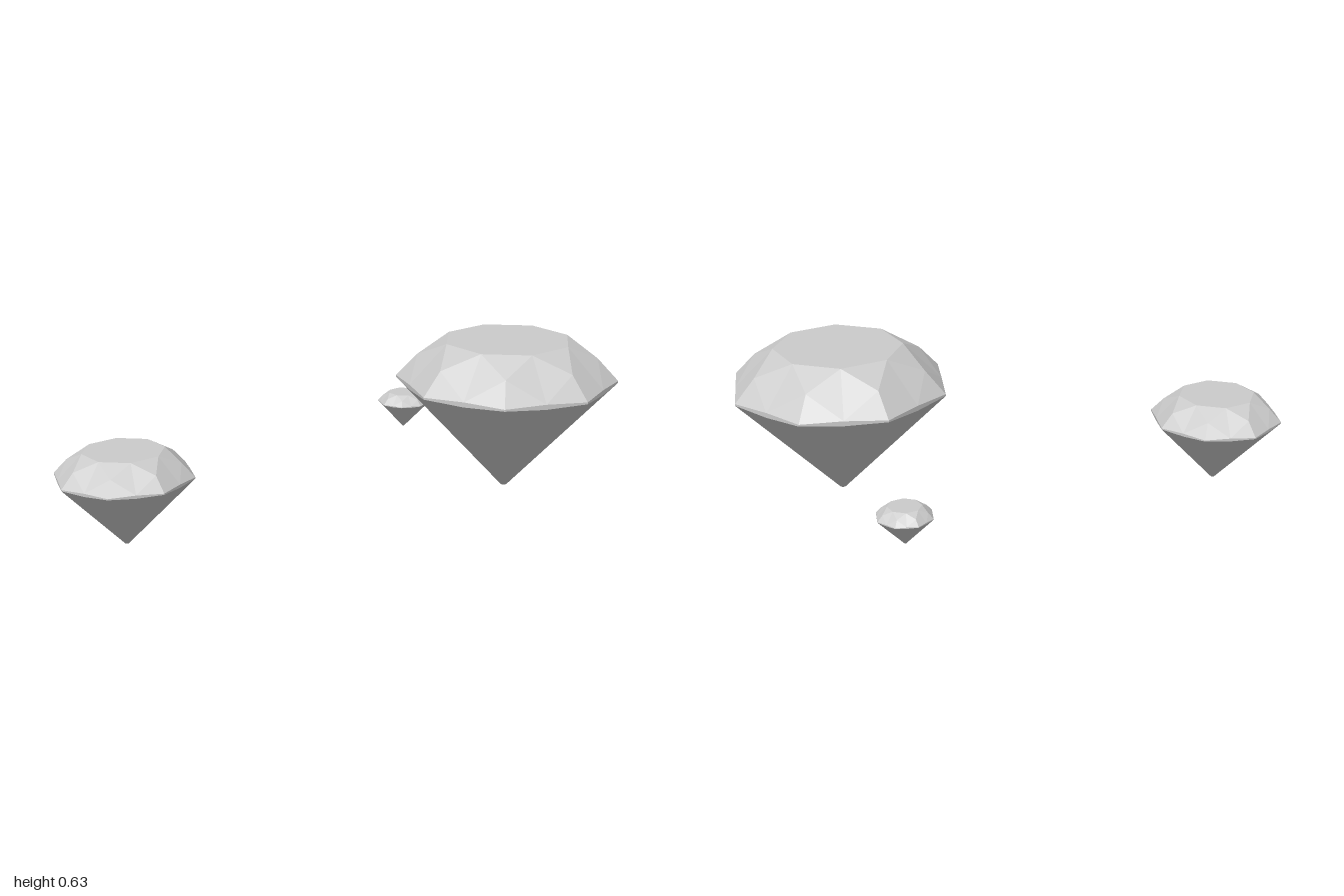
import * as THREE from 'three';

// Point at radius r, height y, and a step of 22.5 degrees round the stone
function at(r, y, step) {
  const a = step * Math.PI / 8;
  return [r * Math.sin(a), y, r * Math.cos(a)];
}

// Flat facets, each a convex polygon listed anticlockwise from outside
function facetMesh(name, facets, material) {
  const positions = [];
  for (const f of facets)
    for (let k = 1; k < f.length - 1; k++) positions.push(...f[0], ...f[k], ...f[k + 1]);
  const geometry = new THREE.BufferGeometry();
  geometry.setAttribute('position', new THREE.Float32BufferAttribute(positions, 3));
  geometry.computeVertexNormals();
  const mesh = new THREE.Mesh(geometry, material);
  mesh.name = name;
  return mesh;
}

// Brilliant-cut stone with an eight-sided outline, its tip at y = 0
function createGem(name, material) {
  const R = 0.415;
  const mid = R * Math.cos(Math.PI / 8);
  const rim = (j) => (j % 2 ? mid : R);
  const upper = (j) => at(rim(j), j % 2 ? 0.424 : 0.419, j);
  const lower = (j) => at(rim(j), j % 2 ? 0.405 : 0.412, j);
  const star = (i) => at(0.336, 0.504, 2 * i);
  const table = (i) => at(0.241, 0.568, 2 * i + 1);
  const culet = (j) => at(0.012, 0, j);

  const crown = [], girdle = [], pavilion = [];
  crown.push([...Array(8).keys()].map(table));
  for (let i = 0; i < 8; i++) {
    const j = 2 * i;
    crown.push([star(i), table(i), table(i - 1)]);              // star facet
    crown.push([table(i), star(i), upper(j + 1), star(i + 1)]); // kite facet
    crown.push([star(i), upper(j), upper(j + 1)]);              // girdle facets
    crown.push([star(i + 1), upper(j + 1), upper(j + 2)]);
  }
  for (let j = 0; j < 16; j++) {
    girdle.push([lower(j), lower(j + 1), upper(j + 1), upper(j)]);
    pavilion.push([culet(j), culet(j + 1), lower(j + 1), lower(j)]);
    pavilion.push([[0, 0, 0], culet(j + 1), culet(j)]);
  }

  const gem = new THREE.Group();
  gem.name = name;
  gem.add(
    facetMesh('crown', crown, material),
    facetMesh('girdle', girdle, material),
    facetMesh('pavilion', pavilion, material)
  );
  return gem;
}

export function createModel() {
  const model = new THREE.Group();
  model.name = 'gems';
  const material = new THREE.MeshStandardMaterial({ color: 0xcccccc, flatShading: true });

  // name, position of the tip, scale
  const stones = [
    ['largeGem', [0.584, 0.063, -0.117], 1],
    ['mediumGem', [-0.746, 0, 0.482], 0.614],
    ['smallGem', [0.164, 0.122, -0.634], 0.254],
  ];
  for (const [name, position, scale] of stones) {
    const gem = createGem(name, material);
    gem.position.set(...position);
    gem.scale.setScalar(scale);
    model.add(gem);
  }
  return model;
}
